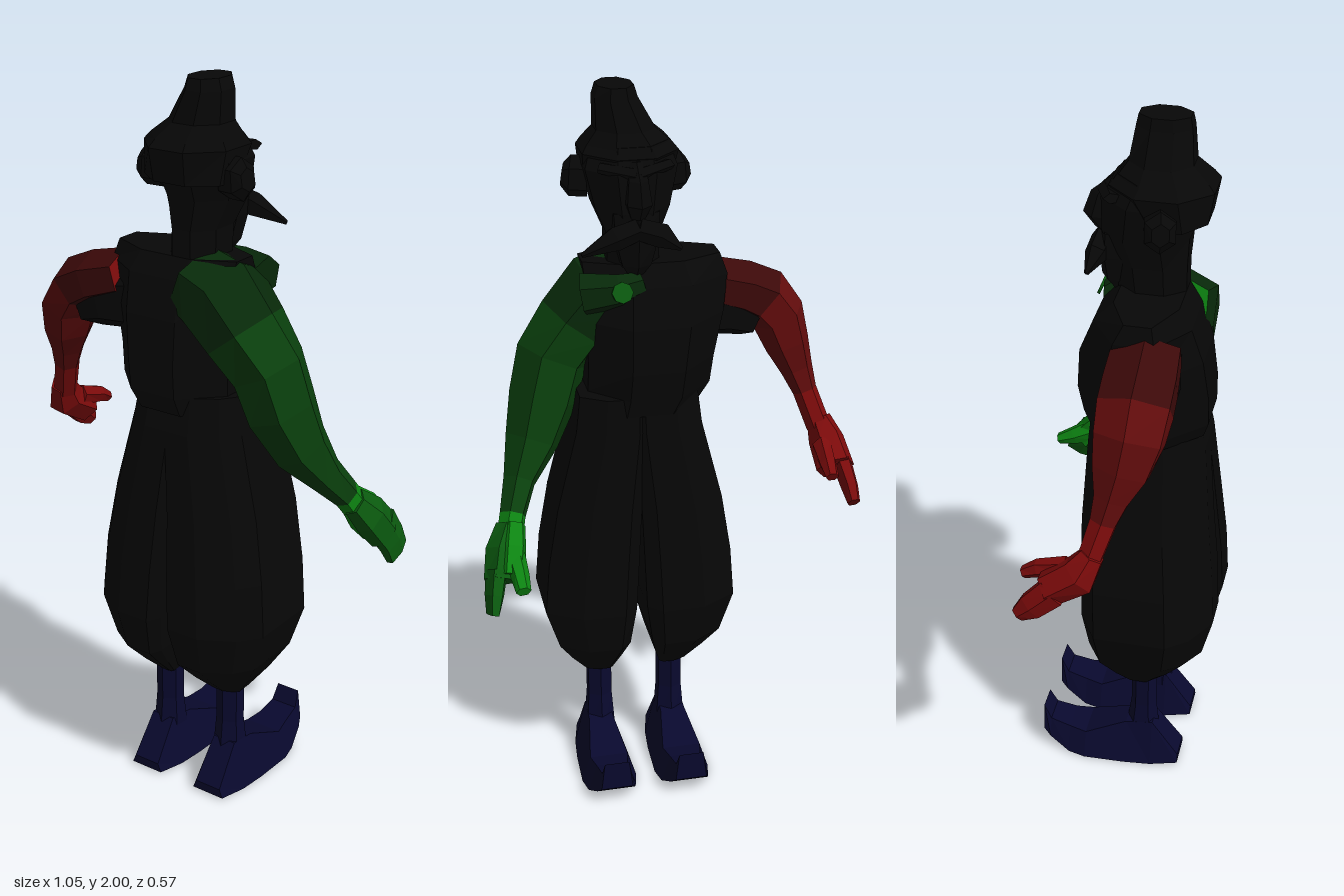
import * as THREE from 'three';

const V = (x, y, z) => new THREE.Vector3(x, y, z);
const mat = (name, color) => {
  const m = new THREE.MeshStandardMaterial({ color });
  m.name = name;
  return m;
};

// Skin consecutive rings of points into a closed faceted solid
function skin(rings) {
  const pos = [];
  const tri = (...pts) => pts.forEach((p) => pos.push(p.x, p.y, p.z));
  const n = rings[0].length;
  for (let i = 0; i < rings.length - 1; i++) {
    for (let j = 0; j < n; j++) {
      const k = (j + 1) % n, a = rings[i], b = rings[i + 1];
      tri(a[j], a[k], b[k]);
      tri(a[j], b[k], b[j]);
    }
  }
  const first = rings[0], last = rings[rings.length - 1];
  for (let j = 1; j < n - 1; j++) {
    tri(first[0], first[j + 1], first[j]);
    tri(last[0], last[j], last[j + 1]);
  }
  const g = new THREE.BufferGeometry();
  g.setAttribute('position', new THREE.Float32BufferAttribute(pos, 3));
  g.computeVertexNormals();
  return g;
}

// Upright form; rows from the bottom up: y, centre x, half width, z front, z back
function upright(rows, sides) {
  return skin(rows.map(([y, cx, rx, z0, z1]) => Array.from({ length: sides }, (_, j) => {
    const a = ((j + 0.5) / sides) * Math.PI * 2, s = 1 / Math.cos(Math.PI / sides);
    return V(cx + rx * s * Math.cos(a), y, (z0 + z1) / 2 - ((z1 - z0) / 2) * s * Math.sin(a));
  })));
}

// Limb along a path; rows: x, y, z, radius towards z, radius across, material index from here on
function limb(rows, sides = 6) {
  const c = rows.map((r) => V(r[0], r[1], r[2]));
  const g = skin(rows.map((r, i) => {
    const t = c[Math.min(i + 1, c.length - 1)].clone().sub(c[Math.max(i - 1, 0)]).normalize();
    const u = V(0, 0, 1).addScaledVector(t, -t.z).normalize();
    const v = t.clone().cross(u);
    return Array.from({ length: sides }, (_, j) => {
      const a = ((j + 0.5) / sides) * Math.PI * 2;
      return c[i].clone().addScaledVector(u, r[3] * Math.cos(a)).addScaledVector(v, r[4] * Math.sin(a));
    });
  }));
  rows.forEach((r, i) => g.addGroup(i * sides * 6, sides * 6, r[5] ?? 0));
  return g;
}

export function createModel() {
  const black = mat('black cloth', 0x070707);
  const blue = mat('navy', 0x09092e);
  const redDark = mat('dark red', 0x3c0909);
  const redMid = mat('mid red', 0x620c0c);
  const red = mat('red', 0x7c0b0b);
  const greenDark = mat('dark green', 0x082a0a);
  const green = mat('green', 0x0a400d);
  const greenMid = mat('mid green', 0x0b5a0f);
  const greenBright = mat('bright green', 0x0d8412);

  const model = new THREE.Group();
  const add = (name, geometry, material) => {
    const m = new THREE.Mesh(geometry, material);
    m.name = name;
    model.add(m);
    return m;
  };

  // Leg outline: fraction from inner to outer side, fraction from front to back
  const outline = [[0, 0.1], [0, 0.9], [0.08, 1], [0.46, 1], [0.82, 0.86], [1, 0.7], [1, 0.16], [0.62, 0.01], [0.15, 0]];
  for (const side of [-1, 1]) {
    const X = 0.07;
    // Baggy trouser leg: y, inner offset, outer offset, z front, z back
    const rows = [
      [0.3, 0.07, 0.145, 0.04, 0.125],
      [0.36, 0.05, 0.19, -0.01, 0.19],
      [0.43, 0.032, 0.232, -0.07, 0.258],
      [0.55, 0.015, 0.27, -0.088, 0.288],
      [0.7, 0.008, 0.258, -0.09, 0.28],
      [0.87, 0, 0.23, -0.09, 0.262],
      [1.1, -0.02, 0.172, -0.08, 0.24],
      [1.2, -0.02, 0.16, -0.07, 0.22],
    ];
    add('trouserLeg', skin(rows.map(([y, a, b, z0, z1]) => {
      const ring = outline.map(([f, d]) => V(X + side * (a + (b - a) * f), y, z0 + (z1 - z0) * d));
      return side > 0 ? ring : ring.reverse();
    })), black);
    add('shin', upright([
      [0.08, X + side * 0.105, 0.042, 0.04, 0.13],
      [0.2, X + side * 0.105, 0.034, 0.055, 0.12],
      [0.34, X + side * 0.105, 0.034, 0.055, 0.12],
    ], 6), blue);
    // Curled shoe: z, bottom, top, half width below, half width above
    const shoe = skin([
      [0.2, 0.005, 0.03, 0.05, 0.04],
      [0.12, 0, 0.14, 0.068, 0.035],
      [0.04, 0, 0.13, 0.076, 0.036],
      [-0.08, 0, 0.08, 0.08, 0.055],
      [-0.13, 0.003, 0.085, 0.07, 0.045],
      [-0.19, 0.04, 0.1, 0.055, 0.04],
      [-0.212, 0.06, 0.145, 0.045, 0.035],
    ].map(([z, b, t, wb, wt]) => [V(wb, b, z), V(-wb, b, z), V(-wt, t, z), V(wt, t, z)]));
    add('shoe', shoe, blue).position.x = X + side * 0.108;
  }

  // Shirt body
  add('torso', upright([
    [1.15, 0.05, 0.15, -0.075, 0.235],
    [1.2, 0.035, 0.167, -0.085, 0.25],
    [1.28, 0.03, 0.17, -0.1, 0.25],
    [1.4, 0.02, 0.185, -0.09, 0.235],
    [1.5, 0.01, 0.19, -0.05, 0.205],
    [1.55, 0.02, 0.185, 0.0, 0.17],
  ], 8), black);
  add('sleeve', limb([
    [-0.08, 1.4, 0.1, 0.1, 0.1],
    [-0.2, 1.385, 0.105, 0.095, 0.09],
    [-0.27, 1.355, 0.105, 0.085, 0.07],
  ]), [black]);

  // Head: neck and face
  add('head', upright([
    [1.5, 0.07, 0.07, 0.0, 0.17],
    [1.62, 0.07, 0.068, -0.02, 0.17],
    [1.7, 0.075, 0.097, -0.05, 0.175],
    [1.8, 0.075, 0.12, -0.05, 0.22],
    [1.86, 0.075, 0.1, -0.01, 0.2],
  ], 8), black);
  add('chin', upright([
    [1.53, 0.075, 0.02, -0.03, 0.02],
    [1.56, 0.075, 0.038, -0.052, 0.03],
    [1.63, 0.075, 0.055, -0.06, 0.03],
    [1.7, 0.075, 0.06, -0.055, 0.03],
  ], 6), black);
  add('nose', upright([
    [1.69, 0.075, 0.018, -0.07, 0.0],
    [1.73, 0.075, 0.032, -0.1, 0.0],
    [1.79, 0.075, 0.025, -0.08, 0.0],
    [1.83, 0.075, 0.02, -0.035, 0.0],
  ], 6), black);
  for (const side of [-1, 1]) {
    add('moustache', limb([
      [0.075, 1.665, -0.055, 0.03, 0.03],
      [0.075 + side * 0.06, 1.645, -0.06, 0.03, 0.034],
      [0.075 + side * (side > 0 ? 0.15 : 0.108), 1.61, -0.075, 0.006, 0.006],
    ], 5), [black]);
    add('ear', limb([
      [0.075 + side * 0.1, 1.76, 0.11, 0.045, 0.055],
      [0.075 + side * 0.145, 1.762, 0.12, 0.045, 0.055],
      [0.075 + side * 0.165, 1.765, 0.125, 0.025, 0.03],
    ]), [black]);
    add('brow', limb([
      [0.075, 1.8, -0.045, 0.025, 0.018],
      [0.075 + side * 0.09, 1.815, -0.01, 0.025, 0.014],
    ], 5), [black]);
  }

  // Leaning tapered hat
  add('hat', upright([
    [1.75, 0.072, 0.115, 0.04, 0.222],
    [1.835, 0.073, 0.125, -0.03, 0.237],
    [1.855, 0.075, 0.11, -0.01, 0.22],
    [1.89, 0.082, 0.077, 0.015, 0.178],
    [1.97, 0.105, 0.055, 0.026, 0.168],
    [2.0, 0.105, 0.046, 0.032, 0.162],
  ], 8), black);

  // Red arm
  add('rightArm', limb([
    [-0.14, 1.46, 0.105, 0.1, 0.065, 0],
    [-0.24, 1.43, 0.11, 0.105, 0.073, 0],
    [-0.3, 1.4, 0.11, 0.105, 0.08, 1],
    [-0.345, 1.34, 0.105, 0.098, 0.075, 1],
    [-0.37, 1.26, 0.09, 0.08, 0.062, 1],
    [-0.395, 1.19, 0.072, 0.05, 0.045, 1],
    [-0.415, 1.13, 0.055, 0.038, 0.034, 2],
    [-0.45, 1.03, 0.025, 0.034, 0.034, 2],
  ]), [redDark, redMid, red]);
  add('rightPalm', limb([
    [-0.452, 1.05, 0.035, 0.034, 0.034],
    [-0.468, 0.995, 0.005, 0.055, 0.05],
    [-0.472, 0.945, -0.075, 0.05, 0.054],
  ]), [red]);
  add('rightFingers', limb([
    [-0.495, 0.95, -0.06, 0.045, 0.028],
    [-0.503, 0.9, -0.115, 0.04, 0.024],
    [-0.505, 0.87, -0.15, 0.022, 0.018],
  ]), [red]);
  add('rightThumb', limb([
    [-0.445, 0.995, -0.03, 0.032, 0.028],
    [-0.44, 0.975, -0.11, 0.025, 0.024],
    [-0.44, 0.955, -0.15, 0.016, 0.018],
  ]), [red]);

  // Green arm
  add('leftArm', limb([
    [0.08, 1.48, 0.105, 0.13, 0.1, 0],
    [0.15, 1.455, 0.105, 0.145, 0.11, 0],
    [0.225, 1.37, 0.105, 0.135, 0.1, 1],
    [0.285, 1.28, 0.09, 0.11, 0.1, 1],
    [0.315, 1.17, 0.07, 0.105, 0.095, 1],
    [0.355, 1.06, 0.035, 0.085, 0.075, 1],
    [0.4, 0.97, -0.02, 0.055, 0.045, 1],
    [0.428, 0.9, -0.08, 0.043, 0.036, 2],
    [0.438, 0.865, -0.105, 0.042, 0.036, 2],
  ]), [greenDark, green, greenBright]);
  // Outer hand darker, inner hand and thumb bright
  add('leftPalm', limb([
    [0.444, 0.875, -0.095, 0.042, 0.034],
    [0.468, 0.825, -0.14, 0.06, 0.045],
    [0.485, 0.765, -0.19, 0.06, 0.04],
  ]), [greenMid]);
  add('leftInnerPalm', limb([
    [0.43, 0.88, -0.1, 0.042, 0.034],
    [0.443, 0.83, -0.145, 0.062, 0.04],
    [0.455, 0.775, -0.195, 0.058, 0.04],
  ]), [greenBright]);
  add('leftFingers', limb([
    [0.488, 0.79, -0.175, 0.06, 0.03],
    [0.5, 0.735, -0.21, 0.055, 0.026],
    [0.508, 0.69, -0.23, 0.052, 0.018],
  ]), [greenMid]);
  add('leftThumb', limb([
    [0.437, 0.825, -0.165, 0.038, 0.028],
    [0.432, 0.795, -0.23, 0.028, 0.025],
    [0.43, 0.777, -0.28, 0.016, 0.02],
  ]), [greenBright]);

  // Green cloth and badge on the upper chest
  add('chestCloth', limb([
    [0.06, 1.51, -0.03, 0.025, 0.03],
    [0.12, 1.495, -0.035, 0.035, 0.045],
    [0.21, 1.48, -0.005, 0.045, 0.06],
  ]), [greenDark]);
  const badge = add('chestBadge', new THREE.CylinderGeometry(0.028, 0.028, 0.008, 8), greenMid);
  badge.rotation.x = -Math.PI / 2 + 0.38;
  badge.position.set(0.12, 1.5, -0.068);

  return model;
}
